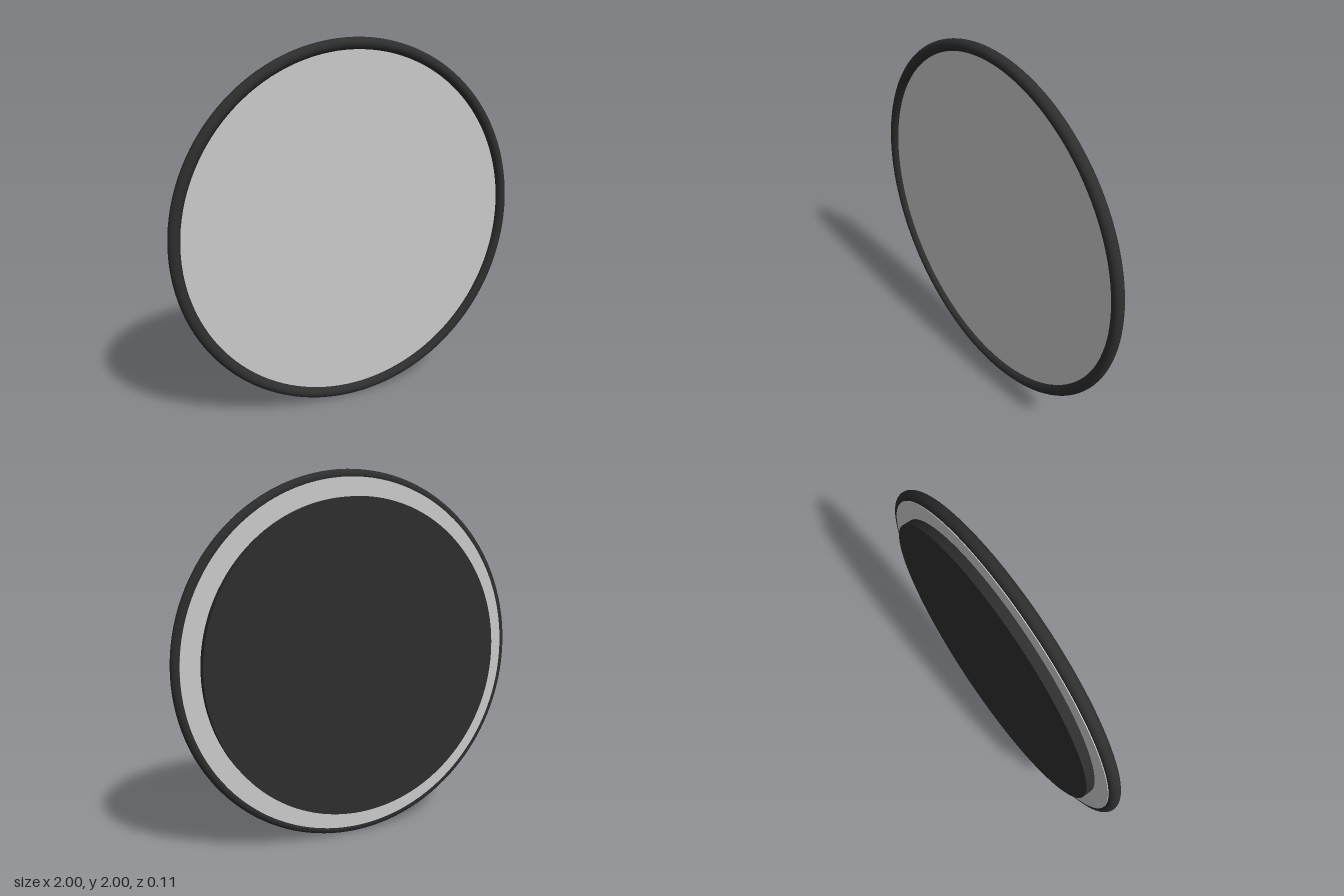
import * as THREE from 'three';

const dark = new THREE.MeshStandardMaterial({ color: 0x2e2e2e });
const grey = new THREE.MeshStandardMaterial({ color: 0xcccccc });

// Upright round plate between two depths
function disc(name, radius, zBack, zFront, material) {
  const geometry = new THREE.CylinderGeometry(radius, radius, zFront - zBack, 128);
  geometry.rotateX(Math.PI / 2);
  const mesh = new THREE.Mesh(geometry, material);
  mesh.name = name;
  mesh.position.set(0, 1, (zBack + zFront) / 2);
  return mesh;
}

export function createModel() {
  const group = new THREE.Group();
  group.name = 'roundMirror';

  // Rounded rim
  const rim = new THREE.Mesh(new THREE.TorusGeometry(0.97, 0.03, 24, 128), dark);
  rim.name = 'rim';
  rim.position.set(0, 1, 0.026);
  group.add(rim);

  // Glass held in the rim, and the smaller plate behind it
  group.add(disc('glass', 0.96, -0.006, 0.026, grey));
  group.add(disc('backPlate', 0.86, -0.056, -0.006, dark));

  return group;
}
